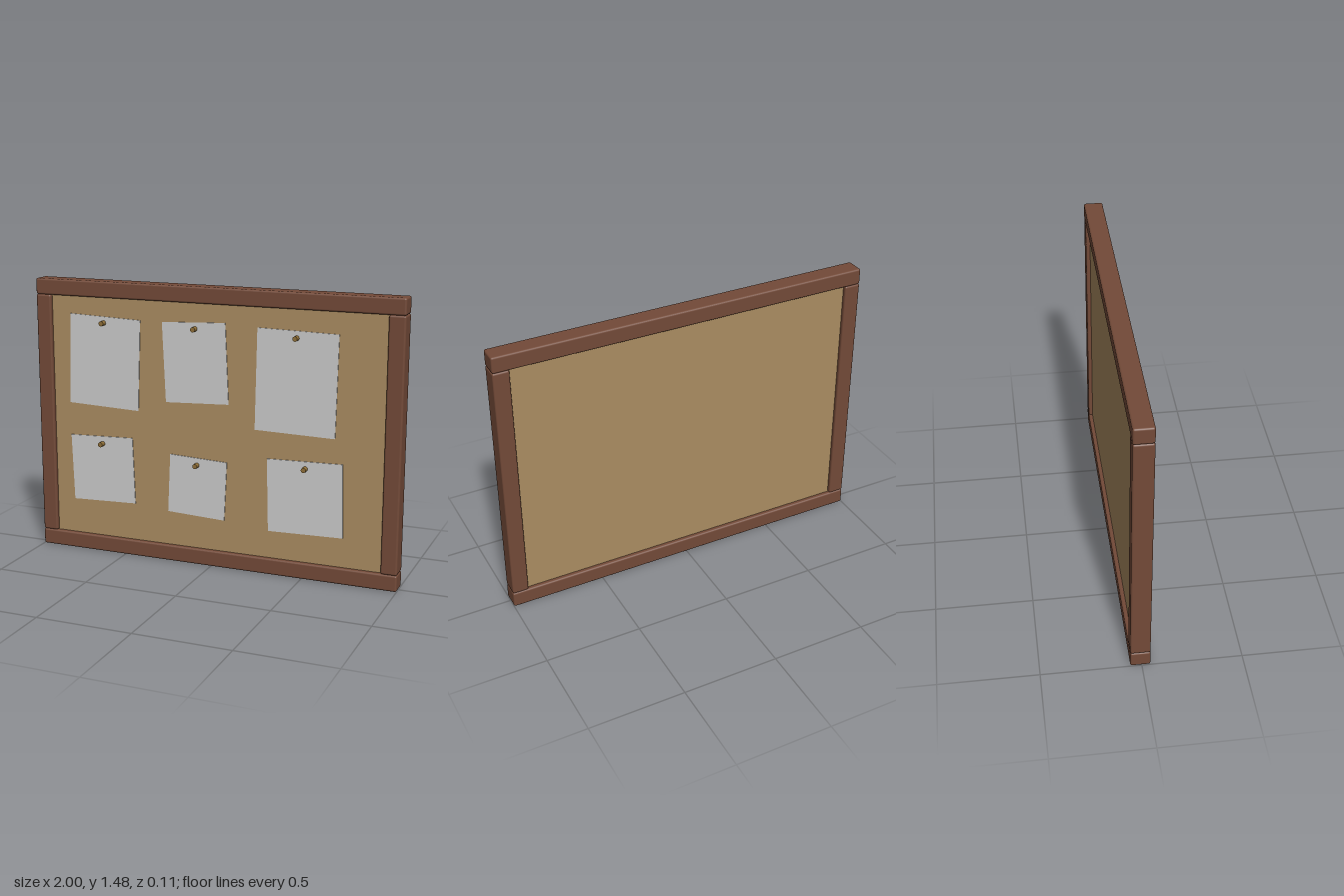
import * as THREE from 'three';
import { RoundedBoxGeometry } from 'three/addons/geometries/RoundedBoxGeometry.js';

const WIDTH = 2, HEIGHT = 1.475, BAR = 0.085, DEPTH = 0.1, MID_Z = -0.007;
const BOARD_DEPTH = 0.056, BOARD_FRONT = MID_Z + BOARD_DEPTH / 2;
const PAPER_DEPTH = 0.004, PIN_FRONT = 0.057;

// x, y, width, height, tilt of each sheet, then the height of its pin above the centre
const NOTES = [
  [-0.612, 1.048, 0.405, 0.482, -0.035, 0.208],
  [-0.093, 1.08, 0.35, 0.42, 0.045, 0.177],
  [0.452, 1.019, 0.425, 0.525, -0.02, 0.227],
  [-0.632, 0.462, 0.365, 0.36, 0.035, 0.14],
  [-0.084, 0.42, 0.32, 0.315, -0.045, 0.12],
  [0.507, 0.428, 0.4, 0.385, 0.025, 0.155],
];

export function createModel() {
  const group = new THREE.Group();
  const wood = new THREE.MeshStandardMaterial({ color: 0x734a38 });
  const cork = new THREE.MeshStandardMaterial({ color: 0xab8d62 });
  const paper = new THREE.MeshStandardMaterial({ color: 0xdededa });
  const brass = new THREE.MeshStandardMaterial({ color: 0x8f6f38 });

  const add = (name, geometry, material, x, y, z) => {
    const mesh = new THREE.Mesh(geometry, material);
    mesh.name = name;
    mesh.position.set(x, y, z);
    group.add(mesh);
    return mesh;
  };

  // Frame: full-width rails with the stiles held between them
  const rail = new RoundedBoxGeometry(WIDTH, BAR, DEPTH, 3, 0.01);
  add('bottomRail', rail, wood, 0, BAR / 2, MID_Z);
  add('topRail', rail, wood, 0, HEIGHT - BAR / 2, MID_Z);
  const stile = new RoundedBoxGeometry(BAR, HEIGHT - 2 * BAR, DEPTH, 3, 0.01);
  add('leftStile', stile, wood, (WIDTH - BAR) / 2, HEIGHT / 2, MID_Z);
  add('rightStile', stile, wood, -(WIDTH - BAR) / 2, HEIGHT / 2, MID_Z);

  // Cork panel, recessed on both sides and let into the frame
  const panel = new THREE.BoxGeometry(WIDTH - 1.5 * BAR, HEIGHT - 1.5 * BAR, BOARD_DEPTH);
  add('corkPanel', panel, cork, 0, HEIGHT / 2, MID_Z);

  // Pinned sheets
  const pinLength = PIN_FRONT - BOARD_FRONT;
  const pin = new THREE.CylinderGeometry(0.013, 0.013, pinLength, 16).rotateX(Math.PI / 2);
  NOTES.forEach(([x, y, w, h, tilt, pinUp], i) => {
    const sheet = new THREE.BoxGeometry(w, h, PAPER_DEPTH);
    add(`paper${i + 1}`, sheet, paper, x, y, BOARD_FRONT + PAPER_DEPTH / 2).rotation.z = tilt;
    add(`pin${i + 1}`, pin, brass, x, y + pinUp, BOARD_FRONT + pinLength / 2);
  });

  return group;
}
